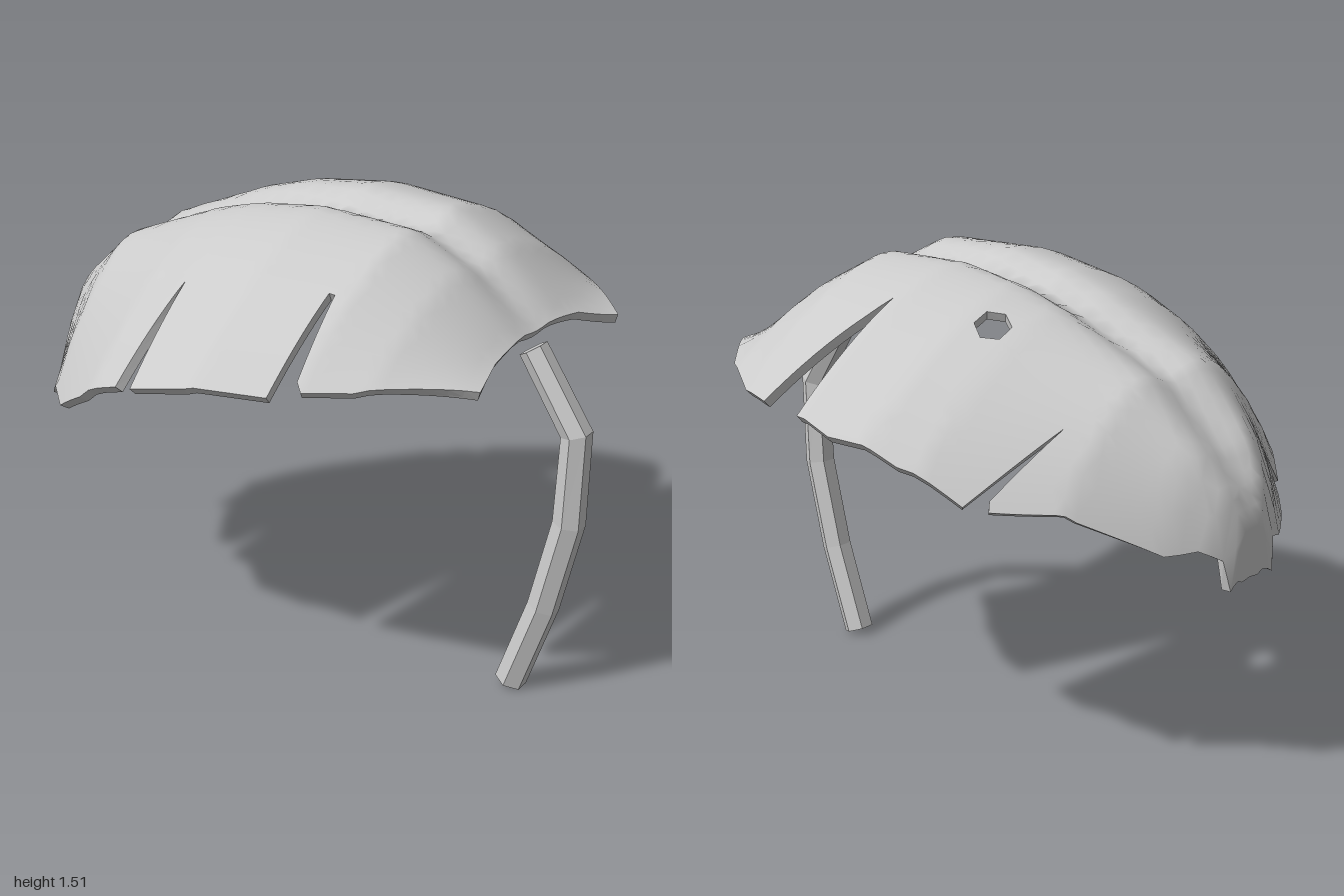
import * as THREE from 'three';

const V2 = (p) => new THREE.Vector2(p[0], p[1]);
const THICK = 0.03;

// Lengthwise stations: u, x, crown height, rim height, half width, midrib groove depth
const STATIONS = [
  [-1.2, -0.985, 0.71, 0.70, 0.05, 0],
  [-1.03, -0.993, 0.90, 0.72, 0.11, 0.01],
  [-0.96, -0.955, 1.0, 0.76, 0.2, 0.02],
  [-0.88, -0.88, 1.1, 0.82, 0.3, 0.03],
  [-0.67, -0.67, 1.29, 0.94, 0.53, 0.04],
  [-0.32, -0.32, 1.435, 1.06, 0.77, 0.05],
  [-0.15, -0.15, 1.485, 1.12, 0.82, 0.055],
  [0.1, 0.1, 1.52, 1.15, 0.85, 0.06],
  [0.42, 0.42, 1.505, 1.17, 0.77, 0.05],
  [0.6, 0.6, 1.41, 1.17, 0.68, 0.035],
  [0.8, 0.8, 1.235, 1.18, 0.52, 0.01],
  [0.92, 0.92, 1.16, 1.17, 0.42, 0],
];

function station(u) {
  let i = 0;
  while (i < STATIONS.length - 2 && u > STATIONS[i + 1][0]) i++;
  const a = STATIONS[i], b = STATIONS[i + 1];
  const t = (u - a[0]) / (b[0] - a[0]);
  return a.map((v, k) => v + (b[k] - v) * t);
}

// Upper surface of the arched blade, with a groove along the midrib
function surface(u, z) {
  const [, x, crown, rim, half, groove] = station(u);
  const d = Math.abs(z - (0.03 - 0.08 * (0.8 - x) / 1.8));
  const flat = Math.min(0.12, 0.35 * half);
  const t = Math.max(0, (d - flat) / (half - flat));
  const y = crown - (crown - rim) * Math.pow(t, 1.7) - groove * Math.exp(-((d / 0.075) ** 2));
  return new THREE.Vector3(x, y, z);
}

function surfaceNormal(u, z) {
  const e = 0.02;
  const du = surface(u + e, z).sub(surface(u - e, z));
  const dz = surface(u, z + e).sub(surface(u, z - e));
  return dz.cross(du).normalize();
}

// Blade outline in (u, z), including the tears along the edge
const OUTLINE = [
  [0.8, -0.04], [0.795, 0.1], [0.81, 0.31], [0.84, 0.45], [0.56, 0.68], [0.43, 0.75],
  [0.405, 0.73], [0.37, 0.48], [0.35, 0.48], [0.34, 0.79], [0.08, 0.835], [-0.12, 0.83],
  [-0.145, 0.51], [-0.19, 0.81], [-0.38, 0.75], [-0.54, 0.66], [-0.74, 0.46],
  [-0.81, 0.26], [-0.8, 0.375], [-0.83, 0.35], [-0.92, 0.21], [-1.0, 0.08], [-1.2, -0.01],
  [-1.2, -0.09], [-1.0, -0.18], [-0.94, -0.25], [-0.88, -0.34], [-0.7, -0.52],
  [-0.51, -0.685], [-0.5, -0.67], [-0.58, -0.43], [-0.45, -0.73], [-0.26, -0.8],
  [-0.02, -0.84], [0.125, -0.825], [0.13, -0.4], [0.165, -0.49], [0.31, -0.785],
  [0.43, -0.75], [0.65, -0.6], [0.885, -0.35], [0.82, -0.2],
];

// Split every long edge at its middle until the flat sheet is fine enough to bend
function refine(tri, maxLen, out) {
  const len = (a, b) => Math.hypot(a.x - b.x, a.y - b.y);
  const lens = tri.map((p, i) => len(p, tri[(i + 1) % 3]));
  const long = Math.max(...lens);
  if (long <= maxLen) { out.push(tri); return; }
  const k = lens.indexOf(long);
  const a = tri[k], b = tri[(k + 1) % 3], c = tri[(k + 2) % 3];
  const m = a.clone().add(b).multiplyScalar(0.5);
  refine([a, m, c], maxLen, out);
  refine([m, b, c], maxLen, out);
}

function bladeGeometry() {
  const shape = new THREE.Shape(OUTLINE.map(V2));
  const hole = [];
  for (let i = 0; i < 6; i++) {
    const a = i * Math.PI / 3;
    hole.push([-0.23 + 0.058 * Math.sin(a), -0.345 + 0.058 * Math.cos(a)]);
  }
  shape.holes.push(new THREE.Path(hole.map(V2)));
  const sheet = new THREE.ExtrudeGeometry(shape, { depth: 1, steps: 1, bevelEnabled: false });
  const flat = sheet.index ? sheet.toNonIndexed() : sheet;
  const src = flat.attributes.position;
  const tris = [];
  for (let i = 0; i < src.count; i += 3) {
    refine([0, 1, 2].map((k) => new THREE.Vector3().fromBufferAttribute(src, i + k)), 0.06, tris);
  }
  // Depth 0 becomes the upper skin, depth 1 the underside
  const pos = [], nor = [];
  for (const tri of tris) {
    const ns = tri.map((p) => surfaceNormal(p.x, p.y));
    const ps = tri.map((p, i) => surface(p.x, p.y).addScaledVector(ns[i], -THICK * p.z));
    const wall = Math.abs(tri[0].z - tri[1].z) + Math.abs(tri[0].z - tri[2].z) > 0.001;
    const face = new THREE.Vector3();
    new THREE.Triangle(...ps).getNormal(face);
    ps.forEach((p, i) => {
      const n = wall ? face : ns[i].multiplyScalar(tri[0].z > 0.5 ? -1 : 1);
      pos.push(p.x, p.y, p.z);
      nor.push(n.x, n.y, n.z);
    });
  }
  const g = new THREE.BufferGeometry();
  g.setAttribute('position', new THREE.Float32BufferAttribute(pos, 3));
  g.setAttribute('normal', new THREE.Float32BufferAttribute(nor, 3));
  return g;
}

// Six-sided stalk bent along a path: x, y, radius
function stalkGeometry() {
  const path = [
    [0.767, 0.02, 0.052], [0.87, 0.32, 0.052], [0.943, 0.63, 0.052],
    [0.953, 0.93, 0.05], [0.795, 1.175, 0.046],
  ];
  const n = path.length - 1;
  const g = new THREE.CylinderGeometry(1, 1, 1, 6, n);
  const p = g.attributes.position;
  for (let i = 0; i < p.count; i++) {
    const k = Math.round((p.getY(i) + 0.5) * n);
    const [x, y, r] = path[k];
    const a = path[Math.max(0, k - 1)], b = path[Math.min(n, k + 1)];
    const t = new THREE.Vector2(b[0] - a[0], b[1] - a[1]).normalize();
    const s = p.getX(i) * r;
    p.setXYZ(i, x + t.y * s, y - t.x * s, 0.043 + p.getZ(i) * r);
  }
  const flat = g.toNonIndexed();
  flat.computeVertexNormals();
  return flat;
}

export function createModel() {
  const group = new THREE.Group();
  group.name = 'leafParasol';
  const add = (name, geometry, flatShading) => {
    const mesh = new THREE.Mesh(geometry, new THREE.MeshStandardMaterial({ color: 0xcccccc, flatShading }));
    mesh.name = name;
    group.add(mesh);
  };
  add('leafBlade', bladeGeometry(), false);
  add('leafStalk', stalkGeometry(), true);
  return group;
}
